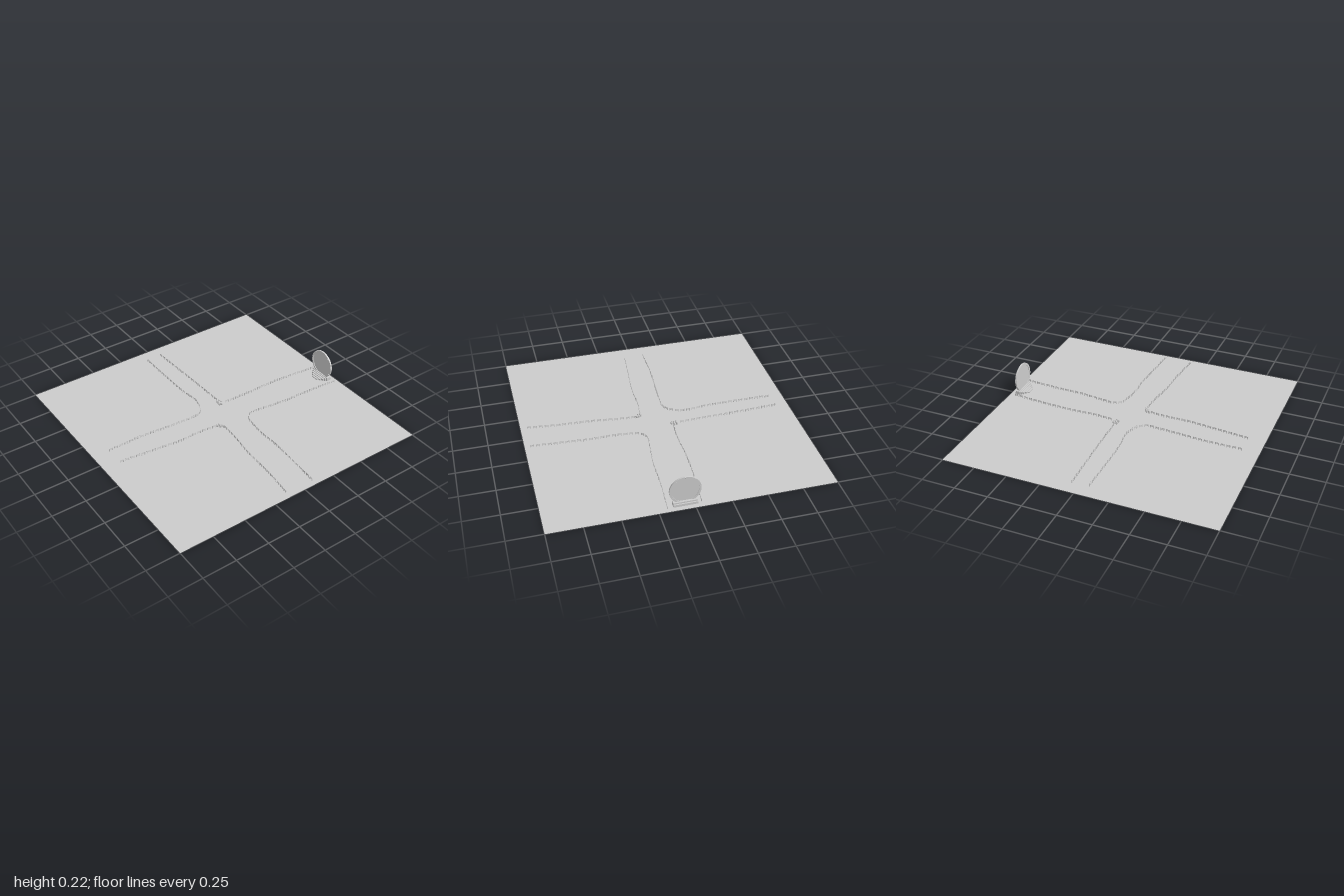
import * as THREE from 'three';

const material = new THREE.MeshStandardMaterial({ color: 0xcccccc, flatShading: true, side: THREE.DoubleSide });
const smooth = new THREE.MeshStandardMaterial({ color: 0xcccccc, side: THREE.DoubleSide });

function add(parent, name, geometry, x, y, z, mat = material) {
  const mesh = new THREE.Mesh(geometry, mat);
  mesh.name = name;
  mesh.position.set(x, y, z);
  parent.add(mesh);
  return mesh;
}

// One short fence section: two end posts and two rails
const postGeo = new THREE.BoxGeometry(0.004, 0.023, 0.004);
const railGeo = new THREE.BoxGeometry(0.028, 0.005, 0.003);
function fenceSection() {
  const section = new THREE.Group();
  section.name = 'fenceSection';
  for (const s of [-1, 1]) add(section, 'fencePost', postGeo, s * 0.012, 0.0115, 0);
  for (const y of [0.011, 0.019]) add(section, 'fenceRail', railGeo, 0, y, 0);
  return section;
}

// Fence sections spaced along a path on the ground
function fenceLine(points) {
  const line = new THREE.Group();
  line.name = 'fenceLine';
  const curve = new THREE.CatmullRomCurve3(points.map(([x, z]) => new THREE.Vector3(x, 0, z)), false, 'centripetal');
  const count = Math.round(curve.getLength() / 0.042);
  for (let i = 0; i < count; i++) {
    const u = (i + 0.5) / count;
    const t = curve.getTangentAt(u);
    const section = fenceSection();
    section.position.copy(curve.getPointAt(u));
    section.rotation.y = Math.atan2(-t.z, t.x);
    line.add(section);
  }
  return line;
}

// Small cluster of barrels at a corner of the crossing
function barrelCluster(cx, cz, offsets) {
  const cluster = new THREE.Group();
  cluster.name = 'barrelCluster';
  const profile = [[0, 0], [0.007, 0], [0.009, 0.01], [0.007, 0.02], [0, 0.02]];
  const geo = new THREE.LatheGeometry(profile.map(p => new THREE.Vector2(...p)), 10);
  for (const [x, z] of offsets) add(cluster, 'barrel', geo, cx + x, 0.001, cz + z);
  return cluster;
}

// Upright round gate with a rim, studs and a stairway
function gate() {
  const group = new THREE.Group();
  group.name = 'gate';
  const ring = new THREE.Shape().absarc(0, 0, 0.11, 0, Math.PI * 2);
  ring.holes.push(new THREE.Path().absarc(0, 0, 0.095, 0, Math.PI * 2, true));
  const ringGeo = new THREE.ExtrudeGeometry(ring, { depth: 0.012, bevelEnabled: false, curveSegments: 32 });
  ringGeo.translate(0, 0, -0.006).rotateY(Math.PI / 2);
  add(group, 'gateRing', ringGeo, 0.94, 0.115, 0.06, smooth);

  const discGeo = new THREE.CylinderGeometry(0.097, 0.097, 0.004, 40).rotateZ(Math.PI / 2);
  add(group, 'gateDisc', discGeo, 0.94, 0.115, 0.06, smooth);

  // Studs evenly spaced on the rim
  const studGeo = new THREE.BoxGeometry(0.016, 0.008, 0.008);
  for (let i = 0; i < 9; i++) {
    const a = Math.PI / 2 + (i * Math.PI * 2) / 9;
    const stud = add(group, 'rimStud', studGeo, 0.94, 0.115 + 0.103 * Math.sin(a), 0.06 + 0.103 * Math.cos(a));
    stud.rotation.x = -a;
  }

  // Platform under the ring and steps narrowing toward the road
  add(group, 'platform', new THREE.BoxGeometry(0.03, 0.028, 0.17), 0.943, 0.014, 0.06);
  add(group, 'backSill', new THREE.BoxGeometry(0.01, 0.018, 0.17), 0.962, 0.009, 0.06);
  const widths = [0.15, 0.13, 0.095, 0.06];
  widths.forEach((w, i) => {
    const h = 0.023 - i * 0.005;
    add(group, 'step', new THREE.BoxGeometry(0.014, h, w), 0.923 - i * 0.0137, h / 2, 0.06);
  });
  return group;
}

export function createModel() {
  const model = new THREE.Group();
  model.name = 'crossroads';
  add(model, 'ground', new THREE.PlaneGeometry(2, 2).rotateX(-Math.PI / 2), 0, 0, 0);

  // Two curved corners and two broken ones
  const paths = [
    [[-0.065, -0.9], [-0.065, -0.4], [-0.05, -0.22], [-0.09, -0.11], [-0.15, -0.073], [-0.22, -0.073], [-0.38, -0.083], [-0.6, -0.1], [-0.88, -0.1]],
    [[0.058, -0.91], [0.075, -0.5], [0.085, -0.14]],
    [[0.12, -0.09], [0.25, -0.08], [0.5, -0.083], [0.7, -0.073], [0.96, -0.05]],
    [[-0.88, 0.05], [-0.6, 0.08], [-0.4, 0.1], [-0.22, 0.1], [-0.1, 0.112]],
    [[-0.055, 0.15], [-0.063, 0.28], [-0.09, 0.5], [-0.1, 0.72], [-0.125, 0.96]],
    [[0.095, 0.97], [0.12, 0.6], [0.125, 0.5], [0.12, 0.4], [0.132, 0.25], [0.15, 0.17], [0.2, 0.132], [0.32, 0.14], [0.5, 0.162], [0.7, 0.167], [0.975, 0.187]],
  ];
  for (const path of paths) model.add(fenceLine(path));

  model.add(barrelCluster(0.085, -0.108, [[-0.012, -0.012], [0.01, -0.014], [0.014, 0.006], [-0.004, 0.004], [0, 0.024], [-0.014, 0.018]]));
  model.add(barrelCluster(-0.075, 0.125, [[-0.016, -0.012], [0.004, -0.012], [-0.002, 0.006], [0.014, 0.004], [0.018, 0.02]]));
  model.add(gate());
  return model;
}
